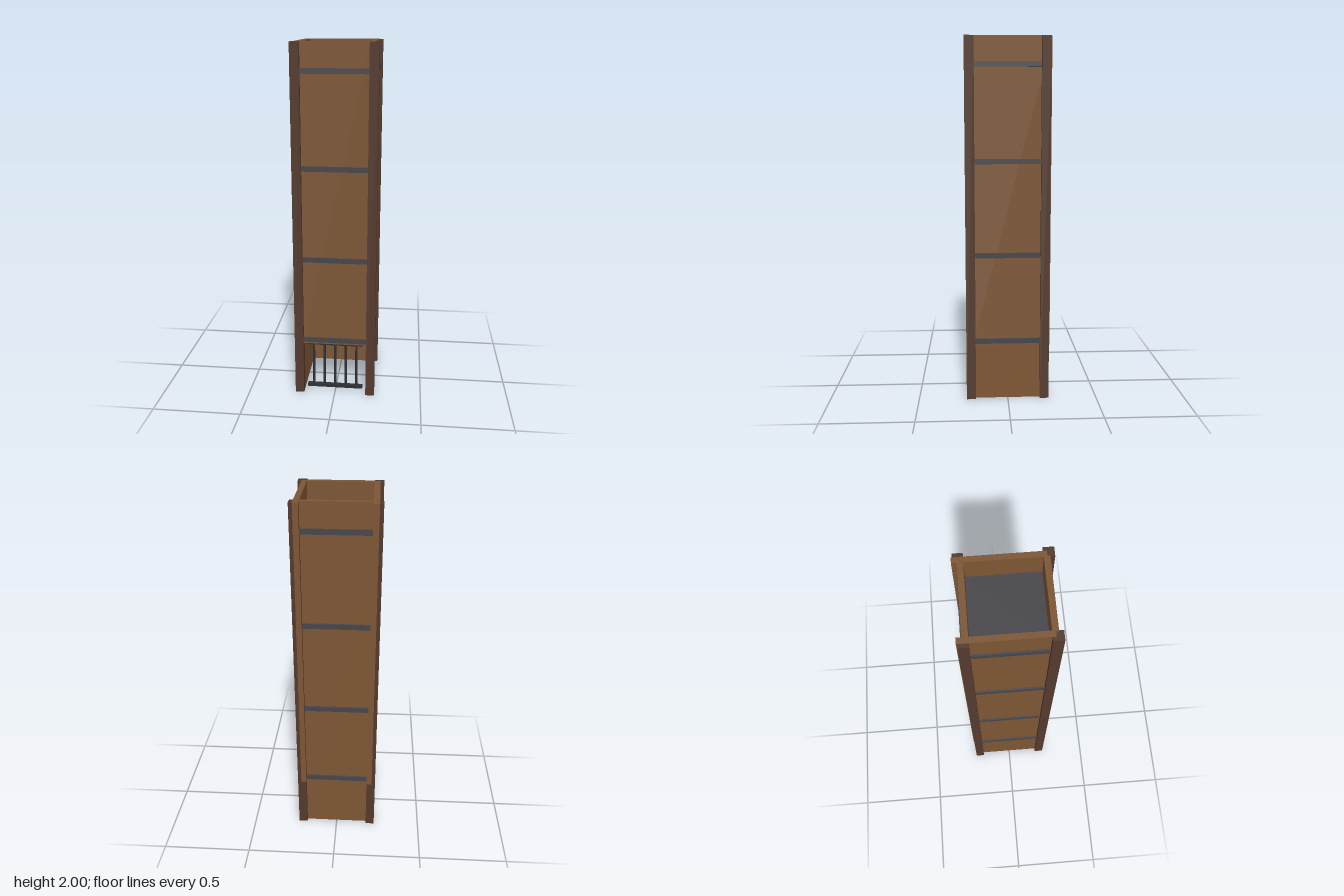
import * as THREE from 'three';

const material = (name, color) => {
  const m = new THREE.MeshStandardMaterial({ color });
  m.name = name;
  return m;
};

export function createModel() {
  const wood = material('wood', 0x7d5635);
  const darkWood = material('dark wood', 0x543a2d);
  const iron = material('iron', 0x46464b);
  const darkIron = material('dark iron', 0x2f3236);

  const tower = new THREE.Group();
  tower.name = 'shaft';

  // Box given by its [min, max] range on each axis
  const box = (name, mat, [x0, x1], [y0, y1], [z0, z1], parent = tower) => {
    const mesh = new THREE.Mesh(new THREE.BoxGeometry(x1 - x0, y1 - y0, z1 - z0), mat);
    mesh.position.set((x0 + x1) / 2, (y0 + y1) / 2, (z0 + z1) / 2);
    mesh.name = name;
    parent.add(mesh);
    return mesh;
  };
  const mirrored = (side, a, b) => (side > 0 ? [a, b] : [-b, -a]);

  const openingTop = 0.308;

  // Front wall stops above the gate opening; back wall is full height
  box('frontWall', wood, [-0.185, 0.185], [openingTop, 2], [0.18, 0.21]);
  box('backWall', wood, [-0.185, 0.185], [0, 2], [-0.21, -0.18]);

  for (const side of [1, -1]) {
    // Upper side walls run out past the back posts
    const x = mirrored(side, 0.18, 0.21);
    box('upperSideWall', wood, x, [openingTop, 2], [-0.235, 0.197]);
    box('lowerSideWall', wood, x, [0, openingTop], [-0.197, 0.197]);

    // Corner posts
    const px = mirrored(side, 0.18, 0.23);
    box('frontPost', darkWood, px, [0, 1.998], [0.18, 0.232]);
    box('backPost', darkWood, px, [0, 1.998], [-0.23, -0.18]);
  }

  // Iron floors whose edges show outside as bands
  for (const y of [0.335, 0.823, 1.339, 1.852]) {
    box('floorBand', iron, [-0.22, 0.22], [y - 0.014, y + 0.014], [-0.22, 0.22]);
  }

  // Barred gate in the front opening
  const gate = new THREE.Group();
  gate.name = 'gate';
  tower.add(gate);
  for (const y of [0.035, 0.308]) {
    box('gateRail', darkIron, [-0.16, 0.16], [y - 0.01, y + 0.01], [0.185, 0.205], gate);
  }
  const barGeometry = new THREE.CylinderGeometry(0.007, 0.007, 0.27, 8);
  for (let i = -2; i <= 2; i++) {
    const bar = new THREE.Mesh(barGeometry, darkIron);
    bar.name = 'gateBar';
    bar.position.set(i * 0.062, 0.17, 0.195);
    gate.add(bar);
  }

  return tower;
}
